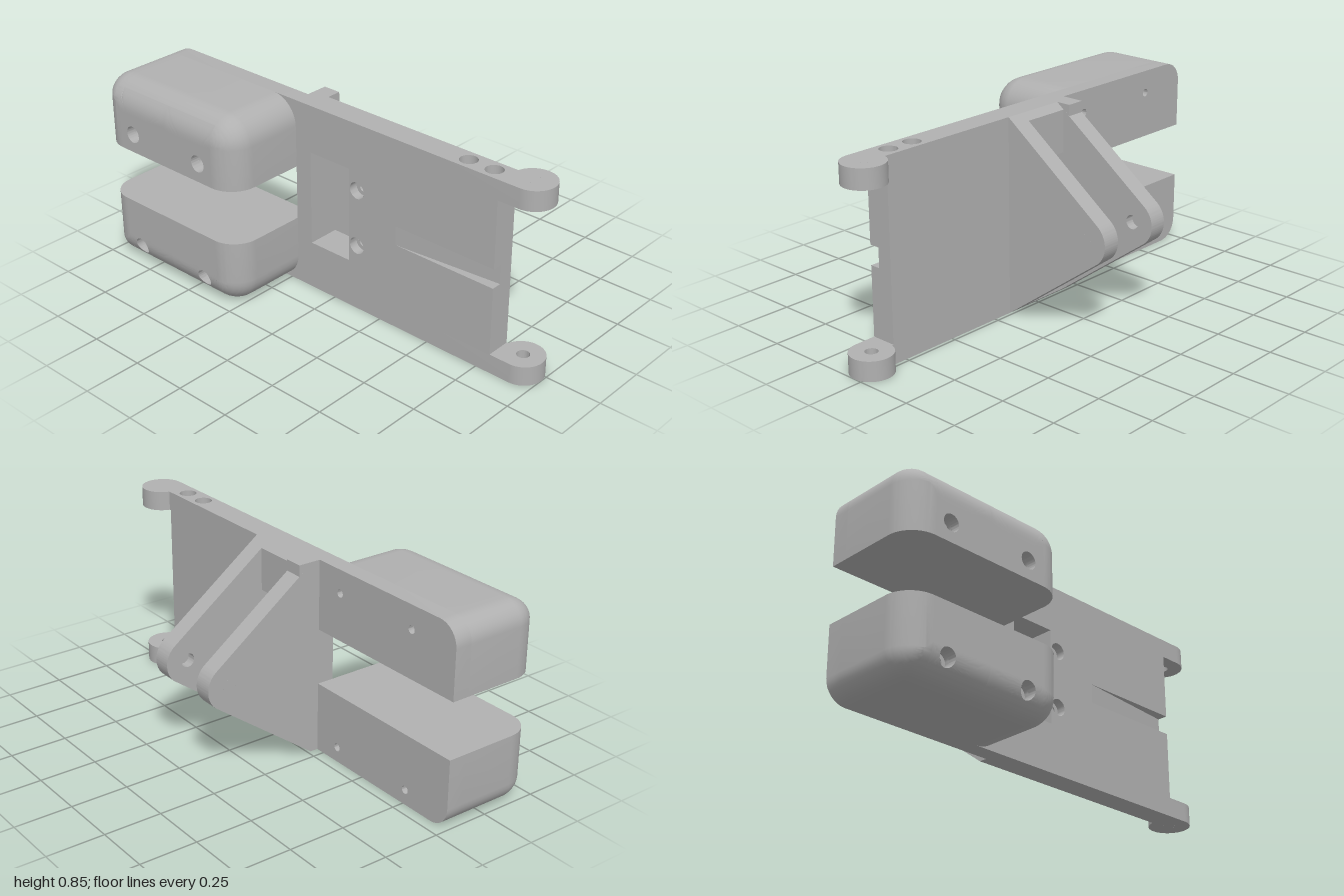
import * as THREE from 'three';
import { toCreasedNormals } from 'three/addons/utils/BufferGeometryUtils.js';

const H = 0.85, BACK = 0.015, FRONT = 0.125;
const BORE = 0.037, PIN = 0.02;

export function createModel() {
  const model = new THREE.Group();
  const grey = new THREE.MeshStandardMaterial({ color: 0xb0b0b0, side: THREE.DoubleSide });
  grey.name = 'grey';

  const add = (name, geometry) => {
    const mesh = new THREE.Mesh(toCreasedNormals(geometry, 0.5), grey);
    mesh.name = name;
    model.add(mesh);
  };
  const poly = (pts) => new THREE.Shape(pts.map(([x, y]) => new THREE.Vector2(x, y)));
  const hole = (x, y, r) => new THREE.Path().absarc(x, y, r, 0, Math.PI * 2, true);
  const extrude = (shape, depth) =>
    new THREE.ExtrudeGeometry(shape, { depth, bevelEnabled: false, curveSegments: 20 });
  // profile in (-z, y), extruded along x
  const alongX = (shape, x, w) => extrude(shape, w).rotateY(Math.PI / 2).translate(x, 0, 0);
  // profile in (x, z), extruded down from y
  const downY = (shape, y, h) => extrude(shape, h).rotateX(Math.PI / 2).translate(0, y, 0);

  // stepped blind hole whose mouth is at the origin, sinking along -y
  const recess = (R, r, step, depth) => new THREE.LatheGeometry(
    [[R, 0], [R, -step], [r, -step], [r, -depth], [0, -depth]].map(([a, b]) => new THREE.Vector2(a, b)), 28);

  // ---- main plate: middle section in two layers, the front one with a notch
  const mid0 = 0.085, mid1 = 0.765, L = -0.21, R = 0.815, g0 = 0.385, g1 = 0.47, gx = 0.33;
  const screwYs = [0.3, 0.555];
  const cutPlate = (shape) => {
    shape.holes.push(new THREE.Path(
      [[-0.13, 0.215], [-0.13, 0.64], [0.082, 0.64], [0.082, 0.215]].map(([x, y]) => new THREE.Vector2(x, y))));
    screwYs.forEach((y) => shape.holes.push(hole(0.124, y, BORE)));
    return shape;
  };
  add('plateBack', extrude(cutPlate(poly([[L, mid0], [R, mid0], [R, mid1], [L, mid1]])), 0.08 - BACK)
    .translate(0, 0, BACK));
  add('plateFront', extrude(cutPlate(poly([[L, mid0], [R, mid0], [R, g0], [gx, g0], [gx, g1], [R, g1],
    [R, mid1], [L, mid1]])), FRONT - 0.08).translate(0, 0, 0.08));
  add('grooveRamp', downY(poly([[gx, 0.08], [R, 0.08], [gx, FRONT]]), g1, g1 - g0));
  screwYs.forEach((y) => add('plateScrewHole',
    recess(BORE, PIN, 0.04, 0.1).rotateX(Math.PI / 2).translate(0.124, y, FRONT)));

  // ---- top and bottom rails, each ending in a hinge ear with a blind pivot hole
  const ear = [0.91, 0.035], earR = 0.09;
  for (const top of [true, false]) {
    const s = new THREE.Shape();
    s.absarc(ear[0], ear[1], earR, Math.atan2(-0.02, -0.0877), Math.PI / 2, false);
    s.lineTo(L, FRONT);
    s.lineTo(L, BACK);
    s.holes.push(hole(ear[0], ear[1], 0.027));
    const drills = top ? [0.635, 0.755] : [];
    drills.forEach((x) => s.holes.push(hole(x, 0.07, BORE)));
    add('hingeRail', downY(s, top ? H : mid0, mid0));
    add('earCap', new THREE.CylinderGeometry(0.027, 0.027, 0.04, 28)
      .translate(ear[0], top ? H - 0.02 : 0.02, ear[1]));
    drills.forEach((x) => add('edgeScrewHole', recess(BORE, PIN, 0.04, 0.08).translate(x, H, 0.07)));
  }

  // ---- rear bracket: two triangular wings with rounded tips, joined by a pad
  const tip = [0.39, 0.425], a = 0.942;
  for (const [x, plugX] of [[-0.21, -0.19], [0.082, 0.142]]) {
    const s = new THREE.Shape();
    s.absarc(tip[0], tip[1], 0.1, -a, a, false);
    s.lineTo(-BACK, H);
    s.lineTo(-BACK, 0);
    s.holes.push(hole(tip[0], tip[1], 0.03));
    add('bracketWing', alongX(s, x, 0.08));
    add('wingHoleCap', new THREE.CylinderGeometry(0.03, 0.03, 0.04, 28)
      .rotateZ(Math.PI / 2).translate(plugX, tip[1], -tip[0]));
  }
  add('bracketPadLower', alongX(poly([[-BACK, 0], [0.02, 0.026], [0.02, 0.215], [-BACK, 0.215]]), -0.13, 0.212));
  add('bracketPadUpper', alongX(poly([[-BACK, 0.64], [0.02, 0.64], [0.02, 0.824], [-BACK, H]]), -0.13, 0.212));
  // flat shoulder at the root of the right wing
  add('wingShoulder', alongX(poly([[-BACK, H], [0.05, H], [0.05, 0.802]].reverse()), -0.21, 0.08));

  // ---- two rounded jaw blocks; v is the distance in from the outer edge
  const x0 = -1, x1 = L, zF = 0.49, F = 0.12, RL = 0.09, RR = 0.12;
  const frontXs = [-0.805, -0.41], rearXs = [-0.76, -0.34];
  const inL = x0 + F, inR = x1 - F, STEPS = 24, HALF = 12, SINK = 0.04;

  const ring = (d, cut) => {
    const pts = [[x0 + d, cut]];
    const corner = (cx, cv, r, from) => {
      for (let i = 0; i <= 8; i++) {
        const t = from + (i / 8) * Math.PI / 2;
        pts.push([cx + r * Math.cos(t), cv + r * Math.sin(t)]);
      }
    };
    const rl = Math.max(RL - d, 0), rr = Math.max(RR - d, 0);
    corner(x0 + d + rl, d + rl, rl, Math.PI);
    pts.push([inL, d], [inR, d]);
    corner(x1 - d - rr, d + rr, rr, -Math.PI / 2);
    pts.push([x1 - d, cut]);
    return pts;
  };
  // triangles from a grid of rows, skipping quads on request
  const skin = (rows, skip = () => false) => {
    const out = [], n = rows[0].length;
    for (let i = 0; i + 1 < rows.length; i++) for (let j = 0; j < n; j++) {
      if (skip(i, j)) continue;
      const k = (j + 1) % n, A = rows[i][j], B = rows[i][k], C = rows[i + 1][k], D = rows[i + 1][j];
      out.push(...A, ...B, ...C, ...A, ...C, ...D);
    }
    const g = new THREE.BufferGeometry();
    g.setAttribute('position', new THREE.Float32BufferAttribute(out, 3));
    return g;
  };
  const frontZ = (v) => (v >= F ? zF : zF - F + Math.sqrt(F * F - (F - v) ** 2));

  for (const [name, up, cut, hv, rearV] of [
    ['lowerJaw', false, 0.305, 0.09, 0.065], ['upperJaw', true, 0.302, 0.22, 0.1]]) {
    const Y = (v) => (up ? H - v : v);

    // side walls and rounded front edges
    const rows = [ring(0, cut).map(([x, v]) => [x, Y(v), FRONT])];
    for (let i = 0; i <= STEPS; i++) {
      const t = (i / STEPS) * Math.PI / 2;
      rows.push(ring(F * (1 - Math.cos(t)), cut).map(([x, v]) => [x, Y(v), zF - F + F * Math.sin(t)]));
    }
    add(name + 'Shell', skin(rows, (i, j) => j === 10 && i > HALF));

    // front face: a patch around each screw hole, starting down inside the bore
    const v0 = F * (1 - Math.cos((HALF / STEPS) * Math.PI / 2)), xm = (inL + inR) / 2;
    [[inL, xm], [xm, inR]].forEach(([xa, xb], n) => {
      const hx = frontXs[n], edge = [], corners = [[xa, v0], [xb, v0], [xb, cut], [xa, cut]];
      corners.forEach(([x, v], c) => {
        const [ex, ev] = corners[(c + 1) % 4];
        for (let i = 0; i < 24; i++) edge.push([x + (ex - x) * i / 24, v + (ev - v) * i / 24]);
      });
      const patch = [];
      for (let m = 0; m <= 8; m++) patch.push(edge.map(([x, v]) => {
        const t = Math.atan2(v - hv, x - hx), f = m / 8;
        const px = (hx + BORE * Math.cos(t)) * (1 - f) + x * f;
        const pv = (hv + BORE * Math.sin(t)) * (1 - f) + v * f;
        return [px, Y(pv), frontZ(pv)];
      }));
      patch.unshift(patch[0].map(([x, y]) => [x, y, zF - SINK]));
      add(name + 'Face', skin(patch));
      add(name + 'ScrewHole', recess(BORE, PIN, 0.02, 0.1).rotateX(Math.PI / 2).translate(hx, Y(hv), zF - SINK));
    });

    // rear slab with pilot holes, square where it meets the plate
    const pts = ring(0, cut).slice(0, 10);
    const slab = poly([...pts, [x1, 0], [x1, cut]].map(([x, v]) => [x, Y(v)]));
    rearXs.forEach((x) => {
      slab.holes.push(hole(x, Y(rearV), 0.017));
      add(name + 'RearHole', recess(0.017, 0.017, 0.05, 0.1).rotateX(-Math.PI / 2).translate(x, Y(rearV), 0.05));
    });
    add(name + 'Slab', extrude(slab, FRONT - 0.05).translate(0, 0, 0.05));
  }
  return model;
}
